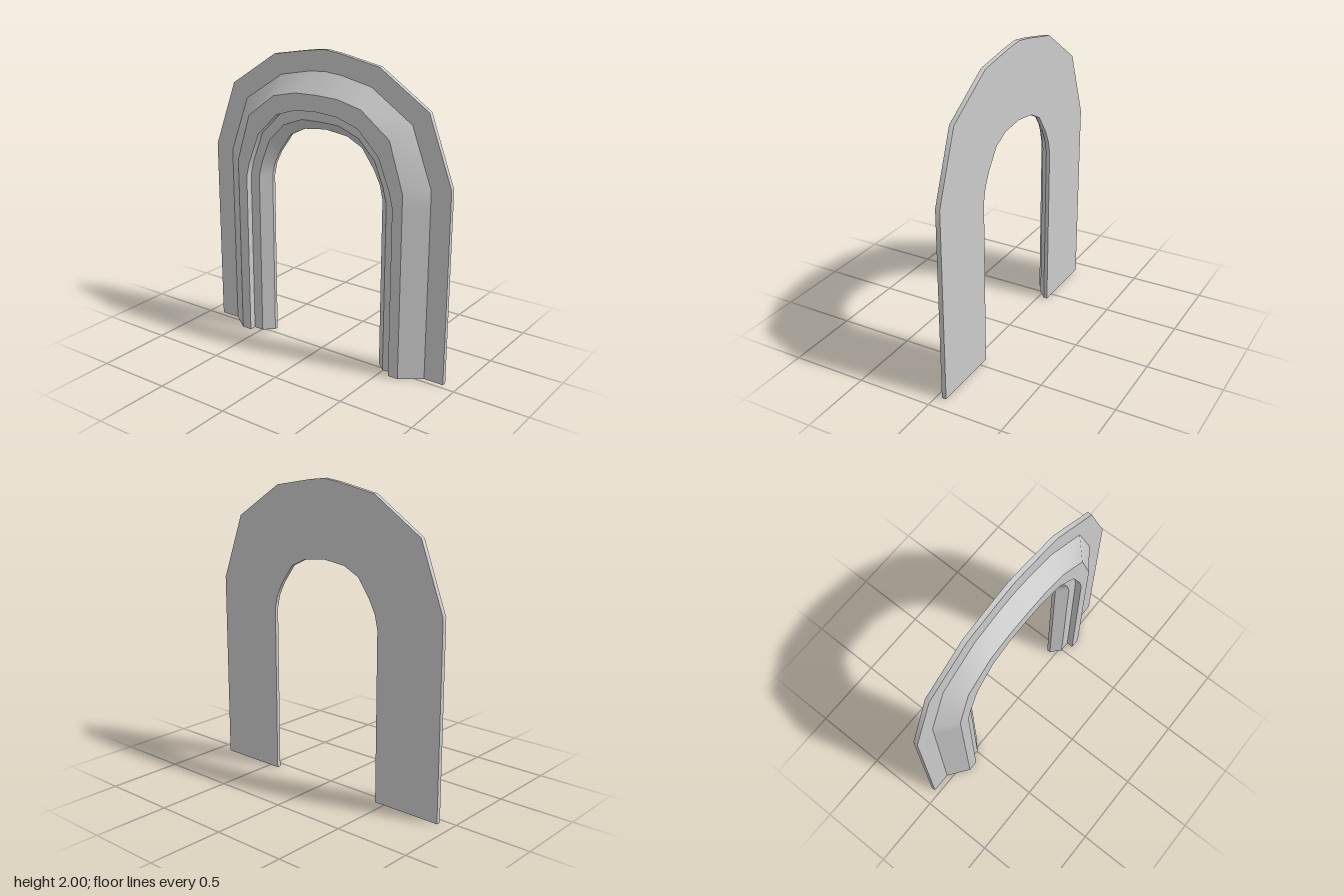
import * as THREE from 'three';

// Concentric arch lines, outermost first: right half, from the floor to the crown.
const RINGS = [
  [[0.905, 0], [0.905, 1.12], [0.905, 1.27], [0.74, 1.71], [0.395, 1.935], [0.12, 1.985], [0, 2]],
  [[0.77, 0], [0.77, 1.12], [0.77, 1.245], [0.63, 1.62], [0.34, 1.81], [0.12, 1.855], [0, 1.865]],
  [[0.635, 0], [0.635, 1.12], [0.635, 1.22], [0.535, 1.535], [0.33, 1.69], [0.16, 1.73], [0, 1.735]],
  [[0.565, 0], [0.565, 1.12], [0.54, 1.22], [0.46, 1.42], [0.31, 1.57], [0.155, 1.62], [0, 1.63]],
  [[0.495, 0], [0.495, 1.12], [0.47, 1.22], [0.405, 1.38], [0.285, 1.5], [0.14, 1.555], [0, 1.56]],
  [[0.43, 0], [0.43, 1.12], [0.41, 1.21], [0.365, 1.3], [0.275, 1.425], [0.165, 1.48], [0, 1.5]],
];

// Moulding cross-section: [ring index, depth z], from the back outer edge round to the back inner edge.
const SECTION = [
  [0, -0.065], [0, -0.035], [1, -0.035], [2, 0.065], [3, 0.065],
  [3, 0.02], [4, 0.02], [5, -0.04], [5, -0.065],
];
const BANDS = [
  'outerEdge', 'outerFlat', 'outerBevel', 'raisedBand', 'step',
  'innerBand', 'innerBevel', 'innerEdge', 'backFace',
];

// A whole arch line: right floor, over the crown, to the left floor.
function archLine([ring, z]) {
  const half = RINGS[ring];
  const left = half.slice(0, -1).reverse().map(([x, y]) => [-x, y]);
  return [...half, ...left].map(([x, y]) => [x, y, z]);
}

// A strip between two arch lines, smooth along its length.
function strip(a, b) {
  const index = [];
  const n = a.length;
  for (let i = 0; i < n - 1; i++) {
    index.push(i, i + 1, n + i + 1, i, n + i + 1, n + i);
  }
  const geometry = new THREE.BufferGeometry();
  geometry.setAttribute('position', new THREE.Float32BufferAttribute([...a, ...b].flat(), 3));
  geometry.setIndex(index);
  geometry.computeVertexNormals();
  return geometry;
}

export function createModel() {
  const model = new THREE.Group();
  model.name = 'archSurround';
  const material = new THREE.MeshStandardMaterial({ color: 0xcccccc });

  const add = (name, geometry) => {
    const mesh = new THREE.Mesh(geometry, material);
    mesh.name = name;
    model.add(mesh);
  };

  // Moulding faces, each its own strip so the edges between them stay sharp
  const lines = SECTION.map(archLine);
  lines.forEach((line, i) => add(BANDS[i], strip(line, lines[(i + 1) % lines.length])));

  // Foot of each leg, facing down
  for (const side of [1, -1]) {
    const outline = SECTION.map(([ring, z]) => new THREE.Vector2(side * RINGS[ring][0][0], z));
    const foot = new THREE.ShapeGeometry(new THREE.Shape(outline));
    foot.rotateX(Math.PI / 2);
    add(side > 0 ? 'leftFoot' : 'rightFoot', foot);
  }
  return model;
}
